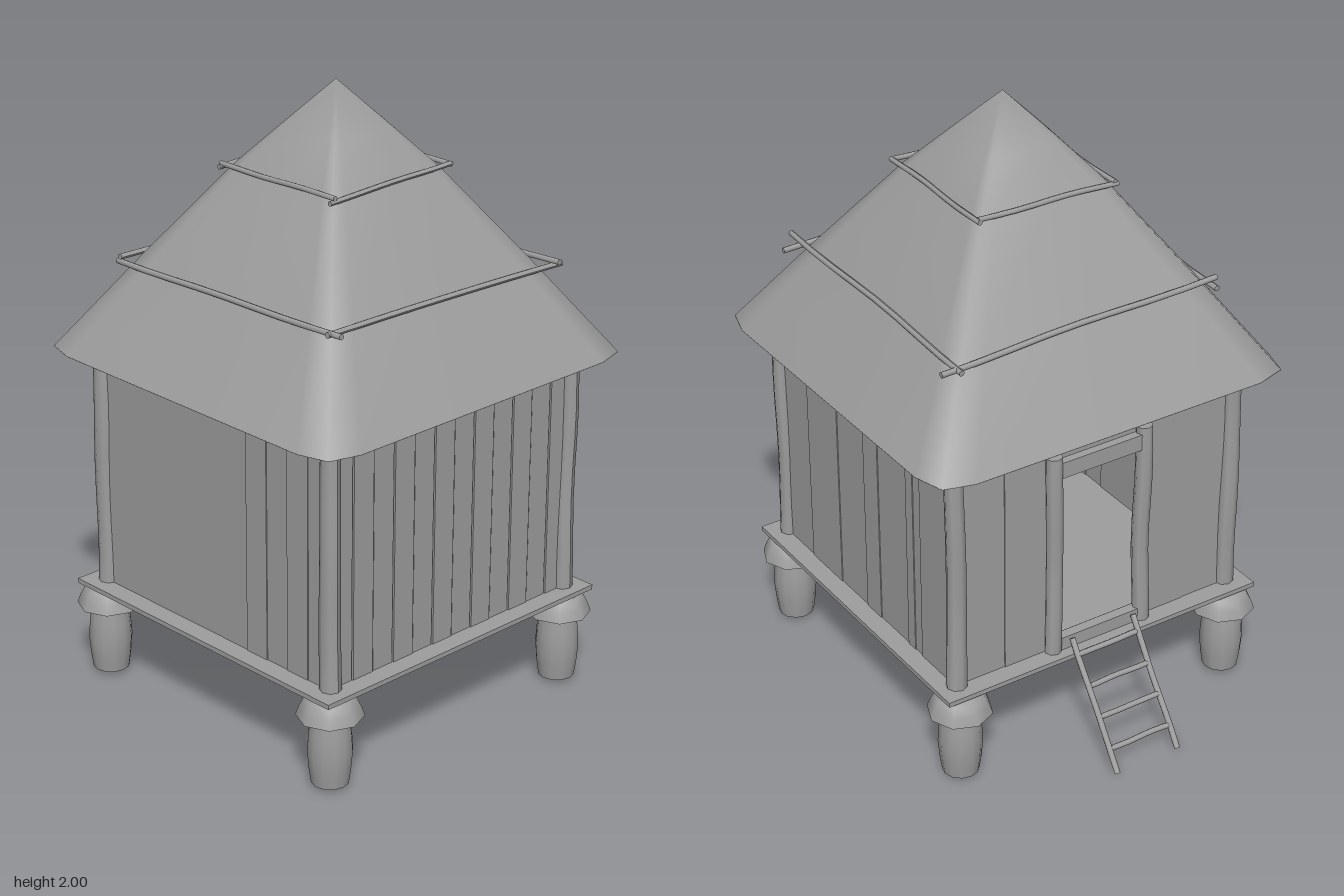
import * as THREE from 'three';

const mat = new THREE.MeshStandardMaterial({ color: 0x9d9d9d });
const matDouble = new THREE.MeshStandardMaterial({ color: 0x9d9d9d, side: THREE.DoubleSide });
const V = (x, y, z) => new THREE.Vector3(x, y, z);

function add(parent, name, geo, x = 0, y = 0, z = 0, m = mat) {
  const mesh = new THREE.Mesh(geo, m);
  mesh.name = name;
  mesh.position.set(x, y, z);
  parent.add(mesh);
  return mesh;
}

// Slightly crooked round pole from a to b
function pole(parent, name, a, b, r, wobble = 0, seed = 0, rTop = r) {
  const len = a.distanceTo(b);
  const geo = new THREE.CylinderGeometry(rTop, r, len, 8, 8);
  const p = geo.attributes.position;
  for (let i = 0; i < p.count; i++) {
    const t = p.getY(i) / len + 0.5;
    p.setX(i, p.getX(i) + wobble * Math.sin(t * 7 + seed));
    p.setZ(i, p.getZ(i) + wobble * Math.sin(t * 9 + seed * 2 + 1));
  }
  geo.computeVertexNormals();
  const mesh = add(parent, name, geo);
  mesh.position.copy(a).lerp(b, 0.5);
  mesh.quaternion.setFromUnitVectors(V(0, 1, 0), b.clone().sub(a).normalize());
}

// Square roof outline with cut corners, blending to a circle as round goes to 1
function outline(half, round) {
  const pts = [];
  for (let q = 0; q < 4; q++) {
    for (const [u, v] of [[1, 0], [1, 0.8], [0.955, 0.955], [0.8, 1]]) {
      const k = 1 + (1 / Math.hypot(u, v) - 1) * round;
      const a = Math.atan2(v, u) + q * Math.PI / 2;
      const d = half * k * Math.hypot(u, v);
      pts.push([d * Math.cos(a), d * Math.sin(a)]);
    }
  }
  return pts;
}

function roofGeometry() {
  const levels = [[0.65, 1.13, 0], [0.451, 1.43, 0.06], [0.244, 1.73, 0.22], [0.143, 1.855, 0.5]];
  const pos = [], index = [], n = 16;
  for (const [half, y, round] of levels) {
    for (const [x, z] of outline(half, round)) pos.push(x, y, z);
  }
  pos.push(0, 2, 0);
  for (let j = 0; j < levels.length; j++) {
    for (let i = 0; i < n; i++) {
      const a = j * n + i, b = j * n + (i + 1) % n;
      if (j === levels.length - 1) index.push(a, levels.length * n, b);
      else index.push(a, a + n, b, b, a + n, b + n);
    }
  }
  const geo = new THREE.BufferGeometry();
  geo.setAttribute('position', new THREE.Float32BufferAttribute(pos, 3));
  geo.setIndex(index);
  geo.computeVertexNormals();
  return geo;
}

// Wall of upright boards facing +z, split at the given seams, with an optional doorway
function wall(name, seams, gap, door) {
  const g = new THREE.Group();
  g.name = name;
  const edges = [-0.51, ...seams, 0.51];
  for (let i = 0; i < edges.length - 1; i++) {
    const x0 = edges[i], x1 = edges[i + 1];
    const isDoor = door && x0 < 0 && x1 > 0;
    for (const [y0, y1] of isDoor ? [[0.32, 0.36], [0.98, 1.14]] : [[0.32, 1.14]]) {
      add(g, 'plank', new THREE.BoxGeometry(x1 - x0 - gap, y1 - y0, 0.02),
        (x0 + x1) / 2, (y0 + y1) / 2, 0.51 + (i % 2) * 0.003);
    }
  }
  return g;
}

export function createModel() {
  const model = new THREE.Group();
  model.name = 'stiltHut';
  const house = new THREE.Group();
  house.name = 'house';
  house.position.z = 0.085;
  model.add(house);

  // Platform and walls; the doorway is at the back
  add(house, 'floor', new THREE.BoxGeometry(1.17, 0.016, 1.17), 0, 0.318, 0);
  const frontSeams = Array.from({ length: 11 }, (_, i) => (i - 5) * 0.085);
  [
    ['frontWall', frontSeams, 0.004, false],
    ['leftWall', [-0.345, -0.16, 0, 0.085, 0.25, 0.29, 0.33, 0.485], 0, false],
    ['backWall', [-0.34, -0.165, 0.165, 0.34], 0, true],
    ['rightWall', [0.16, 0.25, 0.34, 0.43], 0, false],
  ].forEach((args, i) => {
    const g = wall(...args);
    g.rotation.y = i * Math.PI / 2;
    house.add(g);
  });

  // Stilts with flared caps, and corner posts above them
  const lathe = (pts, n) => new THREE.LatheGeometry(pts.map(([r, y]) => new THREE.Vector2(r, y)), n);
  const stilt = [[0.059, 0.01], [0.066, 0.06], [0.071, 0.12], [0.067, 0.18], [0.058, 0.25]];
  const cap = [[0.105, 0.235], [0.094, 0.265], [0.078, 0.295], [0.05, 0.31]];
  let seed = 0;
  for (const s of [-1, 1]) {
    for (const t of [-1, 1]) {
      const x = s * 0.507 + 0.002, z = t * 0.517 - 0.008;
      add(house, 'stilt', lathe(stilt, 12), x, 0, z);
      add(house, 'stiltFoot', new THREE.CircleGeometry(0.059, 12).rotateX(Math.PI / 2), x, 0.01, z);
      add(house, 'stiltCap', lathe(cap, 8), x, 0, z);
      add(house, 'capUnderside', new THREE.CircleGeometry(0.105, 8).rotateX(Math.PI / 2), x, 0.235, z);
      pole(house, 'cornerPost', V(s * 0.513, 0.32, t * 0.516), V(s * 0.513, 1.15, t * 0.516), 0.034, 0.003, seed++, 0.03);
    }
  }

  // Door frame
  for (const x of [-0.165, 0.165]) pole(house, 'doorPost', V(x, 0.32, -0.53), V(x, 1.04, -0.53), 0.028, 0.003, x * 9);
  add(house, 'doorLintel', new THREE.BoxGeometry(0.31, 0.055, 0.035), 0, 0.99, -0.53);
  add(house, 'doorSill', new THREE.BoxGeometry(0.31, 0.045, 0.035), 0, 0.348, -0.53);

  // Thatched roof and its flat underside
  add(house, 'roof', roofGeometry(), 0, 0, 0, matDouble);
  const under = new THREE.ShapeGeometry(new THREE.Shape(outline(0.65, 0).map(([x, z]) => new THREE.Vector2(x, z))));
  under.rotateX(Math.PI / 2);
  add(house, 'roofUnderside', under, 0, 1.131, 0, matDouble);

  // Two square rings of poles tied over the thatch
  for (const s of [-1, 1]) {
    const h = 0.462, u = 0.243;
    pole(house, 'lowerRoofPole', V(-0.475, 1.432, s * h), V(0.52, 1.408, s * h), 0.0095, 0.003, 1);
    pole(house, 'lowerRoofPole', V(s * h, 1.432, 0.505), V(s * h, 1.408, -0.49), 0.0095, 0.003, 1);
    pole(house, 'upperRoofPole', V(-0.255, 1.722, s * u), V(0.245, 1.737, s * u), 0.0085, 0.002, 2);
    pole(house, 'upperRoofPole', V(s * u, 1.737, 0.25), V(s * u, 1.727, -0.25), 0.0085, 0.002, 2);
  }

  // Ladder up to the doorway
  const ladder = new THREE.Group();
  ladder.name = 'ladder';
  model.add(ladder);
  const foot = y => -0.73 + (y - 0.01) * 0.7;
  for (const x of [-0.115, 0.115]) pole(ladder, 'ladderRail', V(x, 0.005, foot(0.005)), V(x, 0.37, foot(0.37)), 0.01, 0.001, x * 20);
  for (const y of [0.07, 0.155, 0.24, 0.325]) pole(ladder, 'rung', V(-0.115, y, foot(y)), V(0.115, y, foot(y)), 0.009, 0.001, y * 30);

  return model;
}
